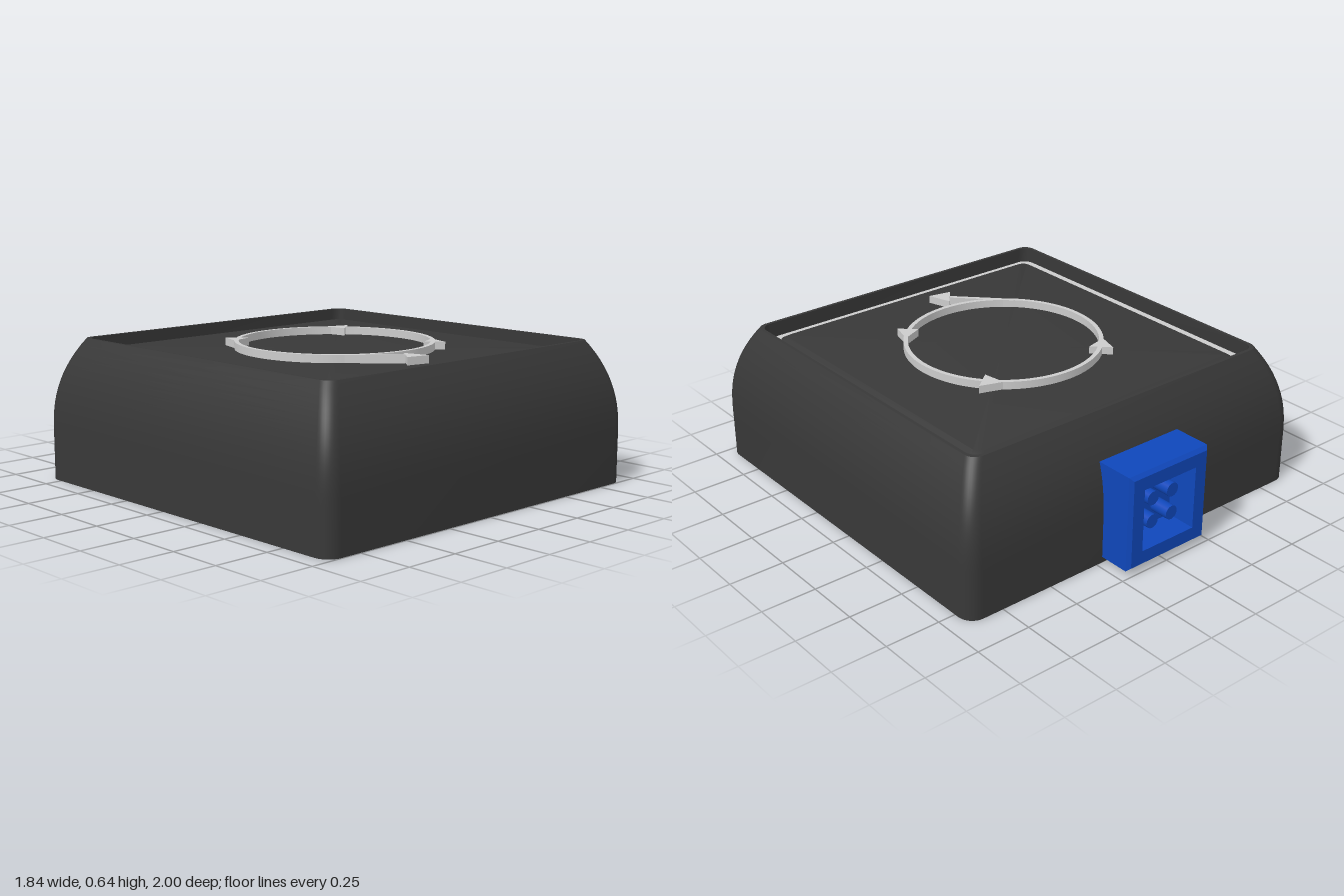
import * as THREE from 'three';
import { toCreasedNormals } from 'three/addons/utils/BufferGeometryUtils.js';

const CZ = 0.0775; // centre of the square body in z
const dark = new THREE.MeshStandardMaterial({ color: 0x383838 });
const light = new THREE.MeshStandardMaterial({ color: 0xcccccc });
const blue = new THREE.MeshStandardMaterial({ color: 0x0f47ba });

// Skin over stacked rounded squares; each profile entry is [half width, y, corner radius]
function skin(profile) {
  const seg = 8, pos = [], idx = [], n = 4 * (seg + 1);
  for (const [h, y, r] of profile) {
    for (let c = 0; c < 4; c++) {
      const mid = Math.PI / 4 + c * Math.PI / 2;
      const cx = Math.sign(Math.cos(mid)) * (h - r), cz = Math.sign(Math.sin(mid)) * (h - r);
      for (let s = 0; s <= seg; s++) {
        const a = (c + s / seg) * Math.PI / 2;
        pos.push(cx + r * Math.cos(a), y, -(cz + r * Math.sin(a)));
      }
    }
  }
  for (let i = 0; i < profile.length - 1; i++) {
    for (let j = 0; j < n; j++) {
      const k = (j + 1) % n;
      const a = i * n + j, b = i * n + k;
      idx.push(a, b, b + n, a, b + n, a + n);
    }
  }
  const g = new THREE.BufferGeometry();
  g.setAttribute('position', new THREE.Float32BufferAttribute(pos, 3));
  g.setIndex(idx);
  return toCreasedNormals(g, 0.5);
}

function add(parent, name, geometry, material, x = 0, y = 0, z = 0) {
  const m = new THREE.Mesh(geometry, material);
  m.name = name;
  m.position.set(x, y, z);
  parent.add(m);
  return m;
}

// Flat shape drawn in (x, z), raised as a slab standing on the panel
function slab(points) {
  const shape = new THREE.Shape(points.map(([x, z]) => new THREE.Vector2(x, -z)));
  return new THREE.ExtrudeGeometry(shape, { depth: 0.035, bevelEnabled: false }).rotateX(-Math.PI / 2);
}

export function createModel() {
  const model = new THREE.Group();
  model.name = 'spinnerBase';
  const PANEL = 0.605;

  // Domed square housing, rim and inner wall of the groove
  const shell = [[0, 0, 0], [0.92, 0, 0.07]];
  for (let i = 0; i <= 14; i++) {
    const t = i / 14;
    shell.push([0.92 - 0.12 * t ** 2.5, 0.2 + 0.445 * t, 0.07 - 0.02 * t]);
  }
  shell.push([0.785, 0.645, 0.05], [0.785, 0.575, 0.05]);
  add(model, 'housing', skin(shell), dark, 0, 0, CZ);

  // Light floor of the groove
  add(model, 'grooveBand', skin([[0.785, 0.575, 0.05], [0.73, 0.575, 0.04]]), light, 0, 0, CZ);

  // Raised centre panel with chamfered edge
  add(model, 'panel', skin([
    [0.735, 0.57, 0.04], [0.73, 0.59, 0.04], [0.705, PANEL, 0.035], [0, PANEL, 0],
  ]), dark, 0, 0, CZ);

  // Direction ring with arrowheads
  const marks = new THREE.Group();
  marks.name = 'directionMarks';
  marks.position.y = PANEL;
  model.add(marks);

  const ring = new THREE.Shape().absarc(0, 0, 0.448, 0, Math.PI * 2, false);
  ring.holes.push(new THREE.Path().absarc(0, 0, 0.428, 0, Math.PI * 2, true));
  const ringGeo = new THREE.ExtrudeGeometry(ring, { depth: 0.035, bevelEnabled: false, curveSegments: 64 });
  add(marks, 'ring', toCreasedNormals(ringGeo.rotateX(-Math.PI / 2), 0.5), light, 0, 0, CZ);

  const heads = [
    [[-0.34, -0.21], [-0.235, -0.235], [-0.31, -0.31]],
    [[0.28, -0.27], [0.297, -0.165], [0.385, -0.235]],
    [[0.34, 0.35], [0.24, 0.395], [0.31, 0.46]],
    [[-0.027, 0.672], [-0.062, 0.56], [-0.134, 0.65]],
  ];
  heads.forEach((p) => add(marks, 'arrowHead', slab(p), light));
  add(marks, 'exitLine', slab([[-0.316, 0.39], [-0.302, 0.376], [-0.09, 0.595], [-0.104, 0.609]]), light);

  // Rear socket: square sleeve facing -z, tapering at its mouth
  const socket = new THREE.Group();
  socket.name = 'rearSocket';
  socket.position.set(0, 0.2475, 0);
  model.add(socket);
  const sleeve = skin([
    [0.22, 0.75, 0], [0.22, 0.983, 0], [0.205, 1, 0],
    [0.145, 1, 0], [0.135, 0.87, 0], [0, 0.87, 0],
  ]).rotateX(-Math.PI / 2);
  add(socket, 'sleeve', sleeve, blue);

  // Contact pins inside the socket
  for (const x of [-0.055, 0.055]) {
    for (const y of [-0.055, 0.055]) {
      const pin = new THREE.CylinderGeometry(0.032, 0.032, 0.09, 16).rotateX(Math.PI / 2);
      add(socket, 'pin', pin, blue, x, y, -0.915);
    }
  }
  return model;
}
